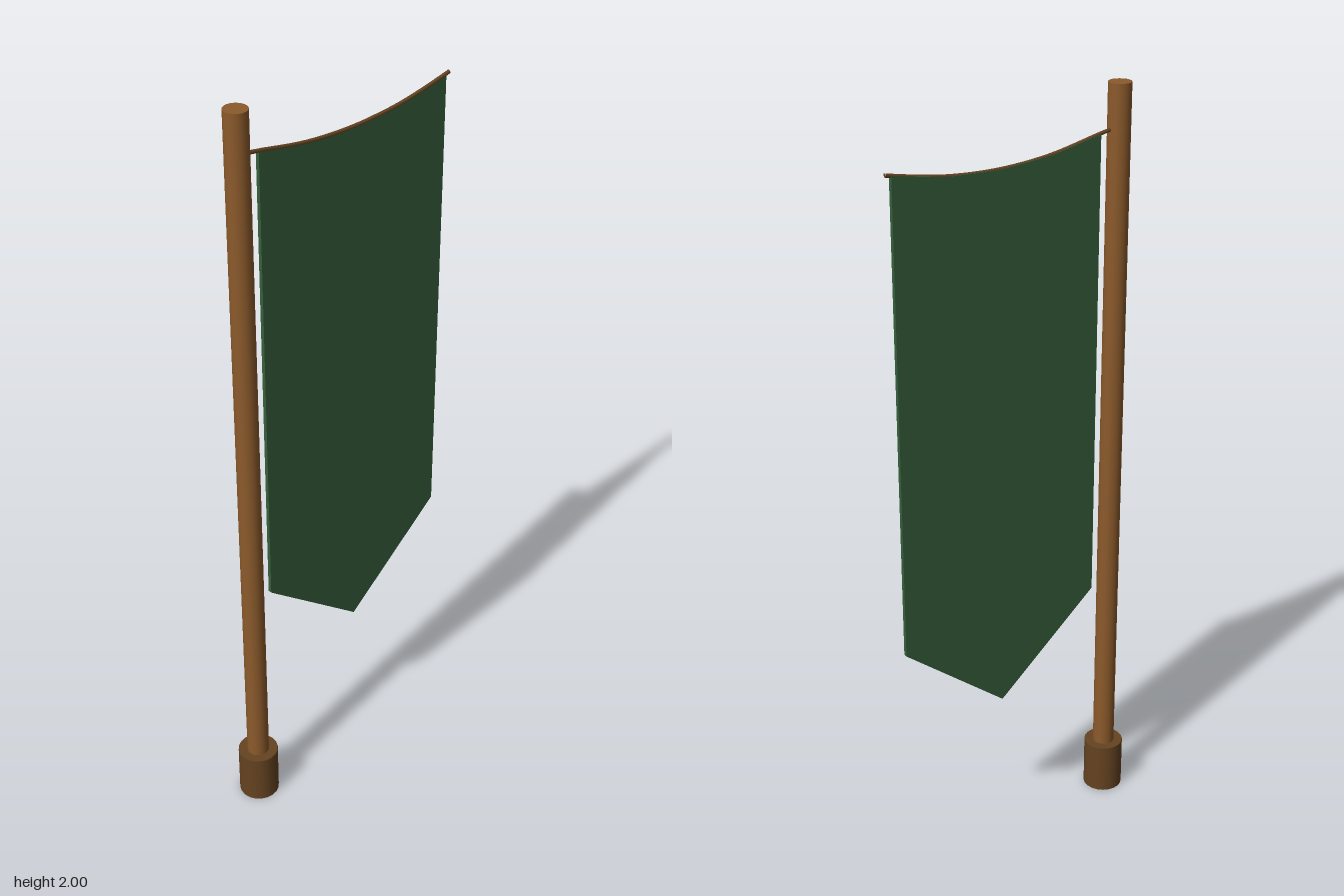
import * as THREE from 'three';

const paint = (name, color) => {
  const m = new THREE.MeshStandardMaterial({ color });
  m.name = name;
  return m;
};

export function createModel() {
  const group = new THREE.Group();
  group.name = 'banner';
  const wood = paint('wood', 0x8b5a2b);
  const darkWood = paint('dark wood', 0x654321);
  const cloth = paint('green cloth', 0x355e3b);

  const add = (name, geometry, material, x = 0, y = 0, z = 0) => {
    const mesh = new THREE.Mesh(geometry, material);
    mesh.name = name;
    mesh.position.set(x, y, z);
    group.add(mesh);
  };

  // Pole and its socket
  const poleX = -0.307;
  add('pole', new THREE.CylinderGeometry(0.029, 0.029, 1.98, 20), wood, poleX, 1.01);
  add('base', new THREE.CylinderGeometry(0.053, 0.053, 0.14, 20), darkWood, poleX, 0.07);

  // Sagging top line shared by the cord and the cloth
  const midX = 0.048, half = 0.296;
  const sag = (t) => 1.847 + 0.036 * t * t;
  const steps = [-1, -0.5, 0, 0.5, 1];

  // Cord from the pole past the far corner, in straight pieces
  const knots = [
    [-0.285, 1.889],
    ...steps.map((t) => [midX + half * t, sag(t)]),
    [0.357, 1.886],
  ].map(([x, y]) => new THREE.Vector3(x, y, 0));
  const cord = new THREE.CatmullRomCurve3(knots);
  add('cord', new THREE.TubeGeometry(cord, 24, 0.005, 8), darkWood);
  const cap = new THREE.CircleGeometry(0.005, 8).rotateY(Math.PI / 2);
  add('cordEnd', cap, darkWood, 0.357, 1.886);

  // Cloth with a pointed lower edge
  const outline = new THREE.Shape();
  outline.moveTo(midX - half, 0.65);
  outline.lineTo(midX, 0.411);
  outline.lineTo(midX + half, 0.65);
  for (const t of [...steps].reverse()) outline.lineTo(midX + half * t, sag(t));
  outline.closePath();
  const flag = new THREE.ExtrudeGeometry(outline, { depth: 0.01, bevelEnabled: false });
  add('cloth', flag, cloth, 0, 0, -0.006);

  return group;
}
